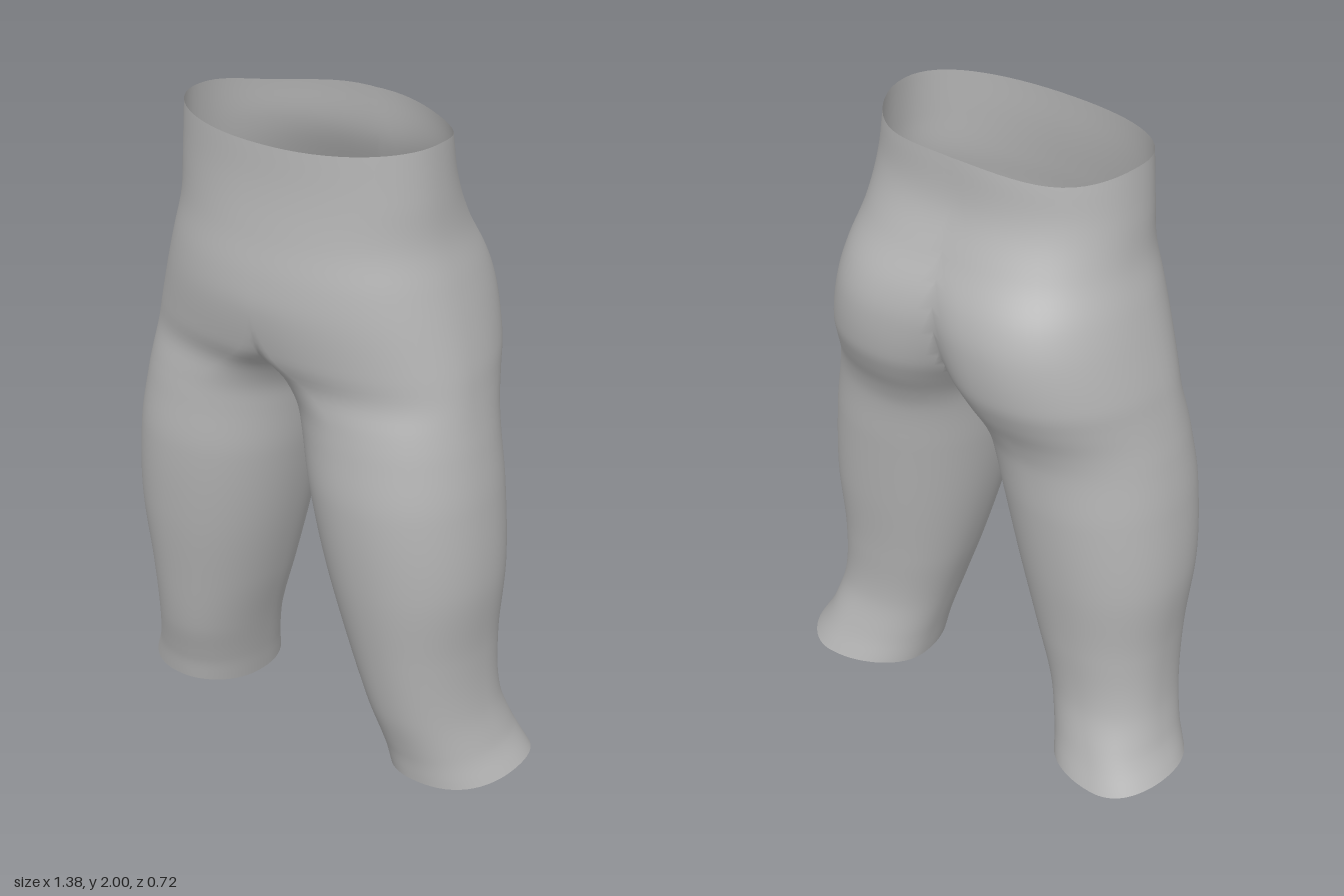
import * as THREE from 'three';
import { mergeVertices } from 'three/addons/utils/BufferGeometryUtils.js';

// Sections of one trouser half:
// y, outer x, inner x (below zero = joined to the other half), mid z, front z, back z, x of front peak, x of back peak
const SECTIONS = [
  [0, 0.69, 0.295, -0.05, 0.185, -0.245, 0.46, 0.53],
  [0.1, 0.65, 0.275, -0.03, 0.2, -0.21, 0.45, 0.5],
  [0.25, 0.612, 0.235, 0, 0.24, -0.172, 0.42, 0.44],
  [0.45, 0.605, 0.17, 0.02, 0.275, -0.18, 0.4, 0.4],
  [0.7, 0.625, 0.1, 0.04, 0.31, -0.21, 0.37, 0.37],
  [0.95, 0.61, 0.045, 0.05, 0.325, -0.235, 0.33, 0.32],
  [1.12, 0.585, 0.015, 0.05, 0.312, -0.25, 0.29, 0.27],
  [1.2, 0.57, -0.005, 0.05, 0.305, -0.275, 0.25, 0.24],
  [1.28, 0.555, -0.05, 0.05, 0.305, -0.315, 0.16, 0.22],
  [1.36, 0.54, -0.11, 0.04, 0.335, -0.345, 0.06, 0.21],
  [1.5, 0.505, -0.2, 0.03, 0.36, -0.355, 0, 0.19],
  [1.6, 0.478, -0.26, 0.03, 0.355, -0.335, 0, 0.16],
  [1.72, 0.445, -0.34, 0.04, 0.335, -0.28, 0, 0.1],
  [1.85, 0.432, -0.4, 0.06, 0.318, -0.232, 0, 0.05],
  [2, 0.42, -0.42, 0.07, 0.31, -0.22, 0, 0.02],
];
const POWER = 2.15; // slightly squarer than an ellipse
const RINGS = 100;
const SIDES = 64;

// Smooth interpolation of the section table at height y
function sectionAt(y) {
  const last = SECTIONS.length - 1;
  let i = 0;
  while (i < last - 1 && SECTIONS[i + 1][0] < y) i++;
  const a = SECTIONS[i], b = SECTIONS[i + 1];
  const before = SECTIONS[Math.max(i - 1, 0)], after = SECTIONS[Math.min(i + 2, last)];
  const h = b[0] - a[0], t = (y - a[0]) / h;
  return a.map((v, k) => {
    const m0 = (b[k] - before[k]) / (b[0] - before[0]) * h;
    const m1 = (after[k] - v) / (after[0] - a[0]) * h;
    const t2 = t * t, t3 = t2 * t;
    return (2 * t3 - 3 * t2 + 1) * v + (t3 - 2 * t2 + t) * m0 + (3 * t2 - 2 * t3) * b[k] + (t3 - t2) * m1;
  });
}

// Point on a section; whatever passes the middle is gathered onto the centre seam
function pointAt(y, angle) {
  const [, outer, inner, zMid, zFront, zBack, peakF, peakB] = sectionAt(y);
  const c = Math.cos(angle), s = Math.sin(angle);
  const round = (v) => Math.sign(v) * Math.abs(v) ** (2 / POWER);
  const peak = s >= 0 ? peakF : peakB;
  const depth = s >= 0 ? zFront - zMid : zBack - zMid;
  let x = peak + round(c) * (c > 0 ? outer - peak : peak - inner);
  let z = zMid + Math.abs(round(s)) * depth;
  if (x < 1e-4) {
    x = 0;
    const u = Math.min(1, Math.max(0, peak / (peak - inner)));
    z = zMid + depth * (1 - u ** POWER) ** (1 / POWER);
  }
  // Wavy hem and waist edges
  const hem = Math.max(0, 1 - y / 0.12), rim = Math.max(0, (y - 1.85) / 0.15);
  const hemLift = 0.015 + 0.009 * c + 0.006 * Math.cos(3 * angle + 0.5);
  const rimDrop = 0.02 * (s > 0 ? s * s : (2 * s * c) ** 2);
  return new THREE.Vector3(x, y + hem * hemLift - rim * rimDrop, z);
}

function trouserGeometry() {
  const grid = [];
  for (let r = 0; r <= RINGS; r++) {
    const ring = [];
    for (let i = 0; i < SIDES; i++) ring.push(pointAt(2 * r / RINGS, i / SIDES * Math.PI * 2));
    grid.push(ring);
  }
  const positions = [];
  const tri = new THREE.Triangle();
  const add = (a, b, c) => {
    if (a.x + b.x + c.x === 0 || tri.set(a, b, c).getArea() < 1e-8) return; // leave the inside open
    for (const p of [a, b, c]) positions.push(p.x, p.y, p.z);
    for (const p of [a, c, b]) positions.push(-p.x, p.y, p.z); // mirrored half
  };
  for (let r = 0; r < RINGS; r++) {
    for (let i = 0; i < SIDES; i++) {
      const j = (i + 1) % SIDES;
      const a = grid[r][i], b = grid[r + 1][i], c = grid[r + 1][j], d = grid[r][j];
      add(a, b, d);
      add(b, c, d);
    }
  }
  const soup = new THREE.BufferGeometry();
  soup.setAttribute('position', new THREE.Float32BufferAttribute(positions, 3));
  const geometry = mergeVertices(soup, 1e-4);
  geometry.computeVertexNormals();
  return geometry;
}

export function createModel() {
  const model = new THREE.Group();
  model.name = 'trousers';
  const cloth = new THREE.MeshStandardMaterial({ color: 0xb4b4b4, side: THREE.DoubleSide });
  cloth.name = 'grey cloth';
  const shell = new THREE.Mesh(trouserGeometry(), cloth);
  shell.name = 'trouserShell';
  model.add(shell);
  return model;
}
